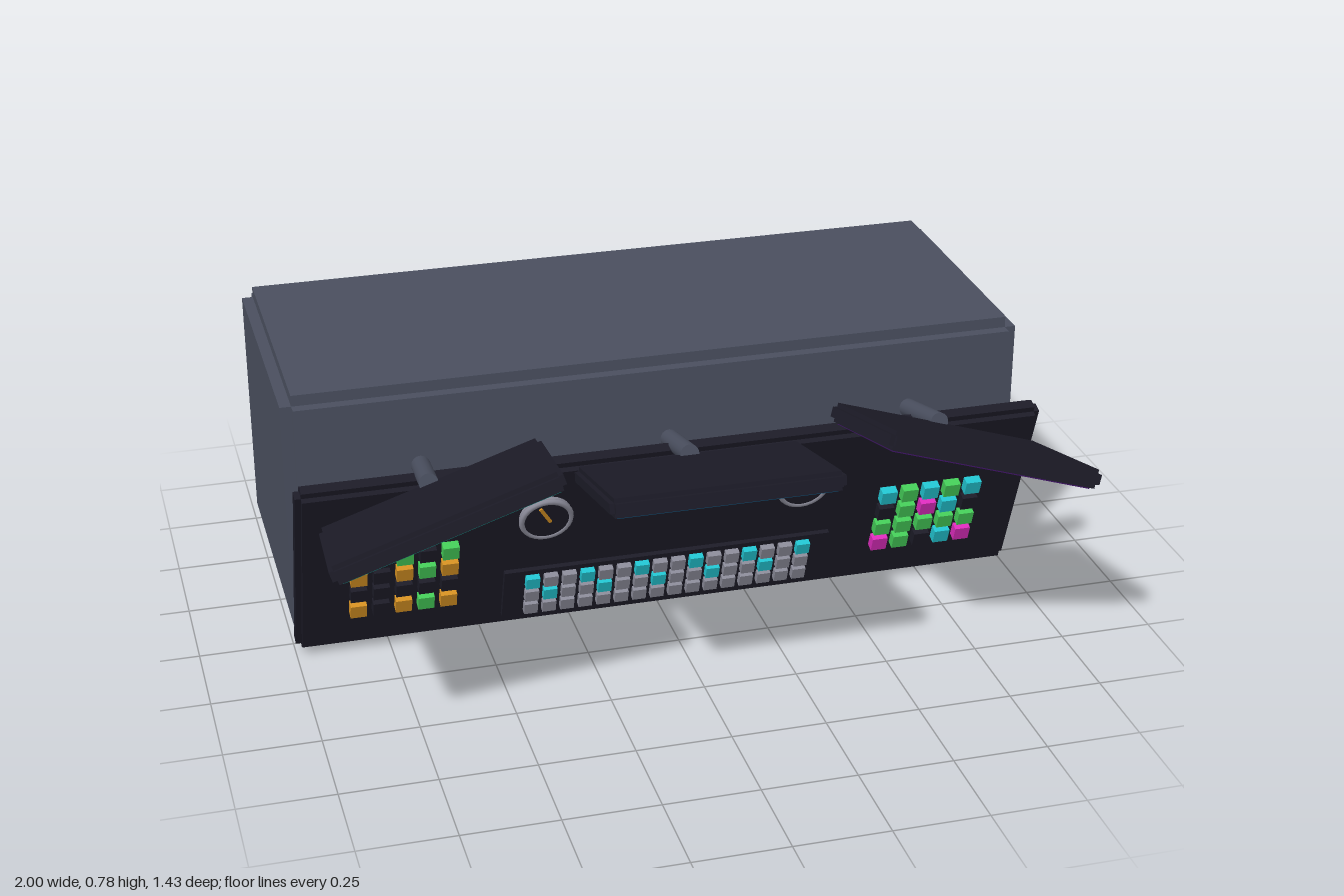
import * as THREE from 'three';
import { mergeGeometries } from 'three/addons/utils/BufferGeometryUtils.js';

const mat = (name, color) => Object.assign(new THREE.MeshStandardMaterial({ color }), { name });

export function createModel() {
  const M = {
    casing: mat('casing grey', 0x4a4f5f),
    dark: mat('panel black', 0x1c1b27),
    key: mat('key grey', 0x8a8a98),
    teal: mat('teal', 0x22c4d0),
    green: mat('green', 0x44cc58),
    orange: mat('amber', 0xd49022),
    magenta: mat('magenta', 0xdc2cbc),
    screenTeal: mat('screen teal', 0x0d6a64),
    screenBlue: mat('screen blue', 0x0a4568),
    screenPurple: mat('screen purple', 0x3b1260),
  };

  const add = (parent, name, geometry, material, x = 0, y = 0, z = 0) => {
    const mesh = new THREE.Mesh(geometry, material);
    mesh.name = name;
    mesh.position.set(x, y, z);
    parent.add(mesh);
    return mesh;
  };
  const box = (w, h, d) => new THREE.BoxGeometry(w, h, d);
  // Box whose twelve edges are cut by a square step of size b
  const steppedBox = (w, h, d, b) => mergeGeometries([
    box(w, h - 2 * b, d - 2 * b),
    box(w - 2 * b, h, d - 2 * b),
    box(w - 2 * b, h - 2 * b, d),
  ]);

  const root = new THREE.Group();
  root.name = 'controlConsole';

  // Cabinet, rear plinth and underglow
  add(root, 'cabinet', steppedBox(2, 0.7, 0.8, 0.03), M.casing, 0, 0.4, -0.32);
  add(root, 'rearPlinth', box(1.9, 0.08, 0.118), M.dark, 0, 0.04, -0.661);
  add(root, 'underglowStrip', box(1.92, 0.02, 0.024), M.teal, 0, 0.042, 0.02);

  // Control panel leaning forward at the top
  const panel = new THREE.Group();
  panel.name = 'controlPanel';
  panel.position.set(0, 0.298, 0.138);
  panel.rotation.x = 0.35;
  root.add(panel);
  add(panel, 'panelSlab', steppedBox(2, 0.59, 0.06, 0.016), M.dark);

  // Keyboard
  add(panel, 'keyboardTray', box(0.9, 0.17, 0.014), M.dark, 0, -0.158, 0.036);
  const keyGeo = box(0.037, 0.037, 0.018);
  for (let r = 0; r < 3; r++) {
    for (let c = 0; c < 16; c++) {
      const lit = r < 2 && c % 3 === r;
      add(panel, 'key', keyGeo, lit ? M.teal : M.key, (c - 7.5) * 0.05, -0.107 - r * 0.05, 0.052);
    }
  }

  // Button banks, one letter per button
  const code = { g: M.green, o: M.orange, t: M.teal, m: M.magenta, d: M.dark };
  const buttonGeo = box(0.043, 0.043, 0.025);
  const buttonBank = (name, x, rows) => {
    const bank = new THREE.Group();
    bank.name = name;
    bank.position.set(x, 0.048, 0.043);
    panel.add(bank);
    rows.forEach((row, r) => [...row].forEach((k, c) =>
      add(bank, 'button', buttonGeo, code[k], (c - 2) * 0.06, -r * 0.061, 0)));
  };
  buttonBank('rightButtons', -0.72, ['gdgdg', 'odogo', 'ddddd', 'odogo']);
  buttonBank('leftButtons', 0.72, ['tgtgt', 'dgmtd', 'ggggg', 'mgdtm']);

  // Gauges: grey housing and bezel, dark dial, amber needle
  for (const side of [-1, 1]) {
    const gauge = new THREE.Group();
    gauge.name = side < 0 ? 'rightGauge' : 'leftGauge';
    gauge.position.set(side * 0.35, 0.124, 0.03);
    panel.add(gauge);
    add(gauge, 'gaugeHousing', new THREE.CylinderGeometry(0.07, 0.07, 0.016, 28), M.key, 0, 0, 0.008)
      .rotation.x = Math.PI / 2;
    add(gauge, 'gaugeDial', new THREE.CylinderGeometry(0.062, 0.062, 0.004, 28), M.dark, 0, 0, 0.017)
      .rotation.x = Math.PI / 2;
    add(gauge, 'gaugeBezel', new THREE.TorusGeometry(0.065, 0.008, 8, 28), M.key, 0, 0, 0.014);
    add(gauge, 'gaugeNeedle', box(0.009, 0.06, 0.005), M.orange, -0.005, 0.022, 0.021)
      .rotation.z = 0.52;
  }

  // Overhead monitors, each with its own arm
  const addMonitor = (name, x, y, roll, screenMat, lines) => {
    const monitor = new THREE.Group();
    monitor.name = name;
    monitor.position.set(x, y, 0.52);
    monitor.rotation.set(1.33, 0, roll, 'ZXY');
    root.add(monitor);
    add(monitor, 'monitorCase', steppedBox(0.6, 0.395, 0.05, 0.012), M.dark);
    add(monitor, 'screen', box(0.56, 0.35, 0.006), screenMat, 0, 0, 0.026);
    add(monitor, 'monitorArm', new THREE.CylinderGeometry(0.025, 0.025, 0.2, 16), M.casing, 0, -0.27, -0.028);
    // Readout lines: start, length, height, colour
    for (const [start, length, ly, m] of lines) {
      add(monitor, 'readoutLine', box(length, 0.007, 0.003), m, start + length / 2, ly, 0.03);
    }
  };
  // Rows of short dashes in two alternating colours
  const readout = (a, b, columns) => [0, 1, 2, 3].flatMap((r) =>
    Array.from({ length: columns - (r % 2) * 2 }, (_, c) =>
      [-0.22 + c * 0.042, 0.026, 0.08 - r * 0.045, r % 2 ? a : b]));
  addMonitor('rightMonitor', -0.68, 0.622, 0.314, M.screenTeal, readout(M.orange, M.green, 10));
  addMonitor('centreMonitor', 0, 0.617, 0, M.screenBlue,
    [[-0.23, 0.17, 0.07, M.orange], [-0.23, 0.09, 0.0, M.orange]]);
  addMonitor('leftMonitor', 0.68, 0.622, -0.314, M.screenPurple, readout(M.magenta, M.green, 8));

  return root;
}
